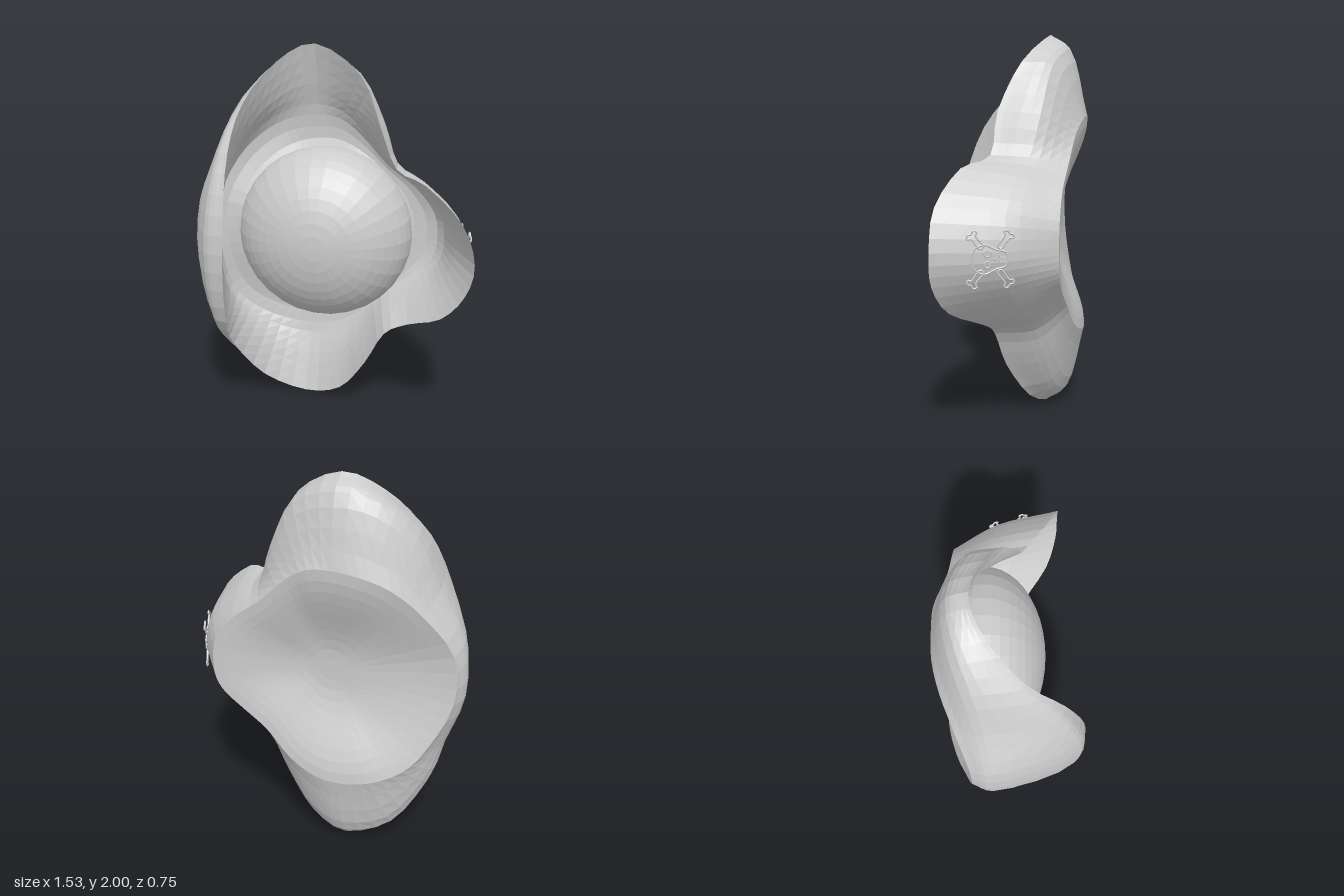
import * as THREE from 'three';

const v = (p) => new THREE.Vector3(...p);
const ring = (pts) => new THREE.CatmullRomCurve3(pts, true, 'catmullrom', 0.5);
const material = new THREE.MeshStandardMaterial({ color: 0xcccccc, flatShading: true, side: THREE.DoubleSide });
const SEG = 66;

// Turned-up brim edge, counter-clockwise from the side flap
const rim = ring([
  [0.76, 1, 0.25], [0.69, 1.2, 0.24], [0.5, 1.36, 0.16], [0.34, 1.41, 0.05], [0.25, 1.62, 0.03], [0.13, 1.86, -0.07],
  [-0.13, 2, -0.18], [-0.32, 1.91, -0.1], [-0.45, 1.72, 0.07], [-0.48, 1.5, 0.25], [-0.48, 1.2, 0.36],
  [-0.49, 0.9, 0.37], [-0.51, 0.6, 0.29], [-0.53, 0.4, 0.12], [-0.42, 0.13, -0.08], [-0.2, 0, -0.18],
  [0.02, 0.08, -0.1], [0.18, 0.3, 0], [0.29, 0.5, 0.04], [0.42, 0.58, 0.07], [0.6, 0.68, 0.2], [0.72, 0.83, 0.25],
].map(v));

// Widest line on the outside of the brim
const bulgePts = [
  [0.67, 1, -0.08], [0.62, 1.17, -0.08], [0.46, 1.32, -0.1], [0.32, 1.4, -0.14], [0.24, 1.6, -0.18], [0.1, 1.84, -0.22],
  [-0.13, 1.93, -0.28], [-0.34, 1.88, -0.24], [-0.5, 1.72, -0.17], [-0.61, 1.46, -0.12], [-0.74, 1.2, -0.09],
  [-0.76, 0.9, -0.09], [-0.67, 0.62, -0.1], [-0.6, 0.4, -0.15], [-0.43, 0.15, -0.22], [-0.19, 0.08, -0.28],
  [0, 0.14, -0.24], [0.15, 0.33, -0.2], [0.26, 0.52, -0.16], [0.4, 0.63, -0.14], [0.53, 0.74, -0.1], [0.64, 0.87, -0.08],
].map(v);
const bulge = ring(bulgePts);

// Lip of the head hollow at the back
const lipPts = [
  [0.52, 1, -0.31], [0.5, 1.12, -0.31], [0.4, 1.25, -0.31], [0.25, 1.36, -0.32], [0.1, 1.5, -0.34], [-0.02, 1.57, -0.365],
  [-0.14, 1.58, -0.37], [-0.28, 1.56, -0.365], [-0.42, 1.5, -0.33], [-0.56, 1.37, -0.27], [-0.71, 1.15, -0.2],
  [-0.72, 0.89, -0.2], [-0.61, 0.65, -0.25], [-0.5, 0.52, -0.3], [-0.34, 0.45, -0.35], [-0.18, 0.43, -0.37],
  [-0.04, 0.45, -0.365], [0.1, 0.52, -0.34], [0.22, 0.64, -0.32], [0.36, 0.74, -0.31], [0.46, 0.82, -0.31], [0.51, 0.9, -0.31],
].map(v);
const lip = ring(lipPts);

// Valley inside the brim, just in front of the lip
const valley = ring(lipPts.map((p, i) => {
  const q = p.clone().lerp(bulgePts[i], 0.1).add(v([0, 0, 0.08]));
  return q.setX(Math.max(q.x, -0.66));
}));

// Surface whose rows are closed loops: point(t around, s across)
function loft(name, rows, point, flip) {
  const pos = [], index = [];
  for (let j = 0; j <= rows; j++)
    for (let i = 0; i < SEG; i++) pos.push(...point(i / SEG, j / rows).toArray());
  for (let j = 0; j < rows; j++)
    for (let i = 0; i < SEG; i++) {
      const n = (i + 1) % SEG;
      const a = j * SEG + i, b = j * SEG + n, c = b + SEG, d = a + SEG;
      index.push(...(flip ? [a, c, b, a, d, c] : [a, b, c, a, c, d]));
    }
  const g = new THREE.BufferGeometry();
  g.setAttribute('position', new THREE.Float32BufferAttribute(pos, 3));
  g.setIndex(index);
  g.computeVertexNormals();
  const mesh = new THREE.Mesh(g, material);
  mesh.name = name;
  return mesh;
}

// Raised skull and crossed bones, drawn with thin tubes
function emblem() {
  const g = new THREE.Group();
  g.name = 'emblem';
  const add = (name, geo, x, y) => {
    const m = new THREE.Mesh(geo, material);
    m.name = name;
    m.position.set(x, y, 0);
    g.add(m);
  };
  const outline = (name, pts) =>
    add(name, new THREE.TubeGeometry(ring(pts.map(([x, y]) => v([x, y, 0]))), 40, 0.004, 5, true), 0, 0);
  outline('skull', [[0, 0.075], [0.045, 0.06], [0.058, 0.02], [0.04, -0.02], [0.028, -0.06], [0, -0.068],
    [-0.028, -0.06], [-0.04, -0.02], [-0.058, 0.02], [-0.045, 0.06]]);
  for (const s of [-1, 1]) {
    add('eye', new THREE.TorusGeometry(0.012, 0.004, 5, 14), s * 0.022, 0.012);
    add('tooth', new THREE.BoxGeometry(0.004, 0.025, 0.008), s * 0.01, -0.05);
    for (const u of [-1, 1]) {
      const a = Math.atan2(u * 0.075, s * 0.1), c = Math.cos(a), d = Math.sin(a);
      const bone = [[0.062, 0.01], [0.11, 0.01], [0.12, 0.024], [0.133, 0.014], [0.128, 0],
        [0.133, -0.014], [0.12, -0.024], [0.11, -0.01], [0.062, -0.01]];
      outline('bone', bone.map(([x, y]) => [x * c - y * d, x * d + y * c]));
    }
  }
  add('nose', new THREE.ConeGeometry(0.007, 0.014, 3), 0, -0.014);
  // Top of the skull points along the flap, towards its rim
  g.setRotationFromMatrix(new THREE.Matrix4().makeBasis(v([0, 1, 0]), v([0.32, 0, 0.947]), v([0.947, 0, -0.32])));
  g.scale.setScalar(1.15);
  g.position.set(0.695, 0.97, -0.02);
  return g;
}

export function createModel() {
  const hat = new THREE.Group();
  hat.name = 'cockedHat';

  // Outer brim, rim over a shoulder (thick on the tall flap) and the bulge to the lip
  hat.add(loft('outerBrim', 12, (t, s) => {
    const r = rim.getPoint(t), o = bulge.getPoint(t);
    const thick = r.x < 0 ? Math.max(0, r.z) / 0.36 : 0;
    const shoulder = r.clone().lerp(o, 0.15).add(v([-0.06 * thick, 0, 0.045 * thick]));
    return new THREE.CatmullRomCurve3([r, shoulder, o, lip.getPoint(t)]).getPoint(s);
  }, true));

  // Inner brim, rim down to the valley, in to the crown and tucked under it
  hat.add(loft('innerBrim', 12, (t, s) => {
    const r = rim.getPoint(t), w = valley.getPoint(t);
    const inward = w.clone().sub(v([-0.08, 1, 0])).setZ(0).normalize();
    const base = inward.clone().multiplyScalar(0.44).add(v([-0.08, 1, w.z * 0.75 - 0.06]));
    const tuck = inward.clone().multiplyScalar(0.4).add(v([-0.08, 1, -0.1]));
    return new THREE.CatmullRomCurve3([r, r.clone().lerp(w, 0.55), w, base, tuck]).getPoint(s);
  }, false));

  // Shallow head hollow at the back, rolling smoothly over its lip
  hat.add(loft('headHollow', 10, (t, s) => {
    const p = lip.getPoint(t), z = p.z;
    p.lerp(v([-0.08, 1, 0]), s);
    p.z = THREE.MathUtils.lerp(z, -0.225, THREE.MathUtils.smoothstep(s, 0, 0.9));
    return p;
  }, true));

  // Domed crown facing the front
  const dome = new THREE.SphereGeometry(1, 30, 12, 0, Math.PI * 2, 0, Math.PI * 0.55);
  dome.rotateX(Math.PI / 2);
  dome.scale(0.475, 0.47, 0.32);
  const crown = new THREE.Mesh(dome, material);
  crown.name = 'crown';
  crown.position.set(-0.07, 1, -0.14);
  hat.add(crown, emblem());
  return hat;
}
